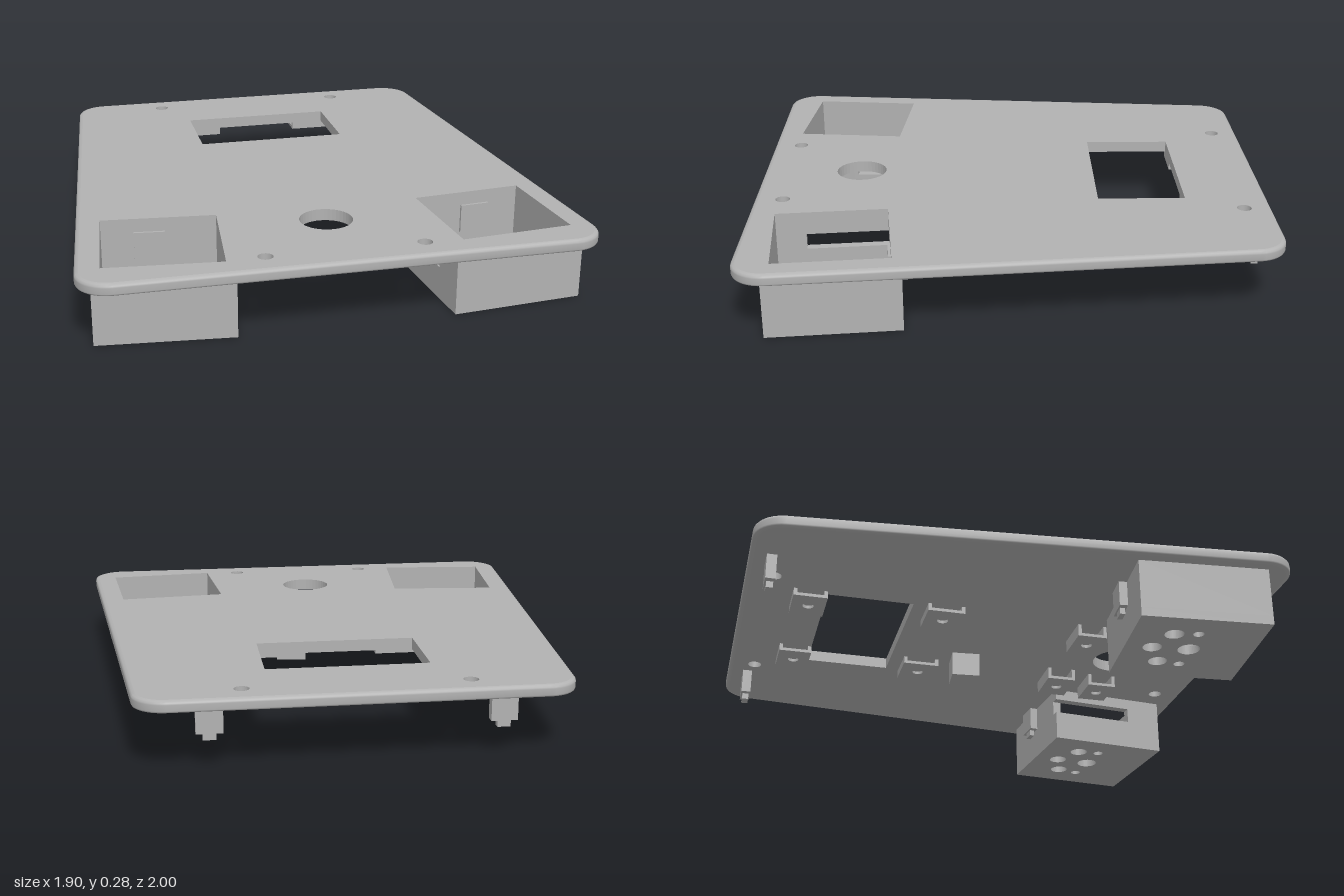
import * as THREE from 'three';

const TILT = 0.094, BOTTOM = 0.23, TOP = 0.275;
const POCKET = { x: 0.624, z: 0.667, outer: 0.25, inner: 0.215 };

// Shapes are drawn in (x, -z) and extruded upward from y0 to y1
function slab(shape, y0, y1) {
  const g = new THREE.ExtrudeGeometry(shape, { depth: y1 - y0, bevelEnabled: false, curveSegments: 20 });
  return g.rotateX(-Math.PI / 2).translate(0, y0, 0);
}
const poly = (pts) => pts.map(([x, z]) => new THREE.Vector2(x, -z));
const square = (h) => [[-h, h], [h, h], [h, -h], [-h, -h]];
const rect = (x0, x1, z0, z1) => [[x0, z1], [x1, z1], [x1, z0], [x0, z0]];
const pathOf = (pts) => new THREE.Path(poly(pts));
function circle(x, z, r) {
  const p = new THREE.Path();
  p.absarc(x, -z, r, 0, Math.PI * 2, true);
  return p;
}

// Trapezoid outline with rounded corners, shrunk by an inset
function outline(inset) {
  const R = 0.12, r = R - inset, phi = 0.0925, pts = [];
  const cx = (y) => 0.8675 - 0.0925 * y - R / Math.cos(phi);
  const k = 1 - R;
  const arcs = [
    [cx(k), k, phi, Math.PI / 2],
    [-cx(k), k, Math.PI / 2, Math.PI - phi],
    [-cx(-k), -k, Math.PI - phi, Math.PI * 1.5],
    [cx(-k), -k, -Math.PI / 2, phi],
  ];
  for (const [x, y, a0, a1] of arcs) {
    for (let i = 0; i <= 10; i++) {
      const a = a0 + (a1 - a0) * i / 10;
      pts.push(new THREE.Vector2(x + r * Math.cos(a), y + r * Math.sin(a)));
    }
  }
  return pts;
}

// Rounded rim lofted around the plate
function rimGeometry() {
  const profile = [[0.016, TOP], [0.006, 0.272], [0.001, 0.266], [0, 0.26], [0, 0.238], [0.003, 0.232], [0.016, BOTTOM]];
  const pos = [], idx = [];
  let n = 0;
  profile.forEach(([inset, y]) => {
    const ring = outline(inset);
    n = ring.length;
    ring.forEach((p) => pos.push(p.x, y, -p.y));
  });
  for (let j = 0; j < profile.length - 1; j++) {
    for (let i = 0; i < n; i++) {
      const a = j * n + i, b = j * n + (i + 1) % n, c = a + n, d = b + n;
      idx.push(a, c, b, b, c, d);
    }
  }
  const g = new THREE.BufferGeometry();
  g.setAttribute('position', new THREE.Float32BufferAttribute(pos, 3));
  g.setIndex(idx);
  g.computeVertexNormals();
  return g;
}

export function createModel() {
  const model = new THREE.Group();
  model.name = 'controllerFacePlate';
  const grey = new THREE.MeshStandardMaterial({ color: 0xb2b2b2 });
  grey.name = 'grey plastic';

  const add = (parent, name, geo) => {
    const m = new THREE.Mesh(geo, grey);
    m.name = name;
    parent.add(m);
    return m;
  };
  const box = (parent, name, x0, x1, y0, y1, z0, z1) =>
    add(parent, name, new THREE.BoxGeometry(x1 - x0, y1 - y0, z1 - z0)
      .translate((x0 + x1) / 2, (y0 + y1) / 2, (z0 + z1) / 2));

  // Plate with screen window, round opening, screw holes and pocket openings
  const plate = new THREE.Shape(outline(0.016));
  plate.holes.push(pathOf(rect(-0.305, 0.305, -0.68, -0.34)), circle(0, 0.605, 0.1));
  for (const s of [-1, 1]) {
    plate.holes.push(circle(s * 0.405, -0.895, 0.028), circle(s * 0.29, 0.89, 0.028));
    const c = Math.cos(s * TILT), n = Math.sin(s * TILT);
    plate.holes.push(pathOf(square(POCKET.inner).map(([x, z]) =>
      [s * POCKET.x + x * c + z * n, POCKET.z - x * n + z * c])));
  }
  add(model, 'plate', slab(plate, BOTTOM, TOP));
  add(model, 'plateRim', rimGeometry());

  // Snap clip hanging down, with a narrower nub at its tip
  const clip = (parent, x, z0, z1) => {
    box(parent, 'clipArm', x - 0.048, x + 0.048, 0.13, BOTTOM, z0, z1);
    box(parent, 'clipNub', x - 0.024, x + 0.024, 0.105, 0.13, z0 + 0.006, z1 - 0.006);
  };

  // Small mounting bracket: drilled shelf held by two flanges
  const bracket = (name, x0, x1, z0, z1, y0) => {
    const g = new THREE.Group();
    g.name = name;
    const shelf = new THREE.Shape(poly(rect(x0, x1, z0, z1)));
    shelf.holes.push(circle((x0 + x1) / 2, (z0 + z1) / 2, 0.022));
    add(g, 'bracketShelf', slab(shelf, y0, y0 + 0.012));
    box(g, 'bracketFlange', x0, x1, y0 + 0.012, BOTTOM, z0, z0 + 0.014);
    box(g, 'bracketFlange', x0, x1, y0 + 0.012, BOTTOM, z1 - 0.014, z1);
    model.add(g);
  };

  for (const s of [-1, 1]) {
    // Tilted switch pocket
    const pocket = new THREE.Group();
    pocket.name = s > 0 ? 'leftPocket' : 'rightPocket';
    pocket.position.set(s * POCKET.x, 0, POCKET.z);
    pocket.rotation.y = s * TILT;
    model.add(pocket);

    // Floor with switch pin holes
    const floor = new THREE.Shape(poly(square(POCKET.outer)));
    for (const [x, z, r] of [[-0.118, -0.09, 0.037], [0, -0.143, 0.037], [0.118, -0.09, 0.037],
      [-0.131, 0, 0.021], [0, 0, 0.043], [0.131, 0, 0.021]]) floor.holes.push(circle(-s * x, z, r));
    add(pocket, 'pocketFloor', slab(floor, 0, 0.035));

    // Walls; the left pocket has a cable slot at its inner back corner
    const o = POCKET.outer, i = POCKET.inner;
    const ring = new THREE.Shape(poly(square(o)));
    ring.holes.push(pathOf(square(i)));
    if (s < 0) {
      add(pocket, 'pocketWalls', slab(ring, 0.035, BOTTOM));
    } else {
      const slotted = new THREE.Shape(poly([[-o, o], [o, o], [o, -o], [-i, -o], [-i, -i], [i, -i], [i, i],
        [-i, i], [-i, 0.1], [-o, 0.1]]));
      add(pocket, 'lowerWalls', slab(ring, 0.035, 0.122));
      add(pocket, 'slottedWalls', slab(slotted, 0.122, 0.184));
      add(pocket, 'upperWalls', slab(ring, 0.184, BOTTOM));
    }
    // Clip outside the back wall and its pad inside
    clip(pocket, s * 0.03, -0.282, -o);
    box(pocket, 'clipPad', s * 0.035 - 0.058, s * 0.035 + 0.058, 0.11, 0.222, -i, -i + 0.01);

    // Clips along the back edge
    clip(model, s * 0.52, -0.938, -0.9);

    // Brackets around the window and the round opening
    const side = (a, b) => (s > 0 ? [a, b] : [-b, -a]);
    bracket('screenBracketBack', ...side(0.17, 0.33), -0.812, -0.68, 0.2);
    bracket('screenBracketFront', ...side(0.17, 0.33), -0.285, -0.137, 0.2);
    bracket('dialBracketBack', ...side(0.13, 0.295), 0.34, 0.46, 0.18);
    bracket('dialBracketFront', ...side(0.155, 0.31), 0.53, 0.65, 0.18);
  }

  // Support block under the middle
  const block = add(model, 'supportBlock', new THREE.BoxGeometry(0.115, 0.1, 0.115));
  block.position.set(0.137, 0.18, -0.032);
  block.rotation.y = -TILT;

  return model;
}
